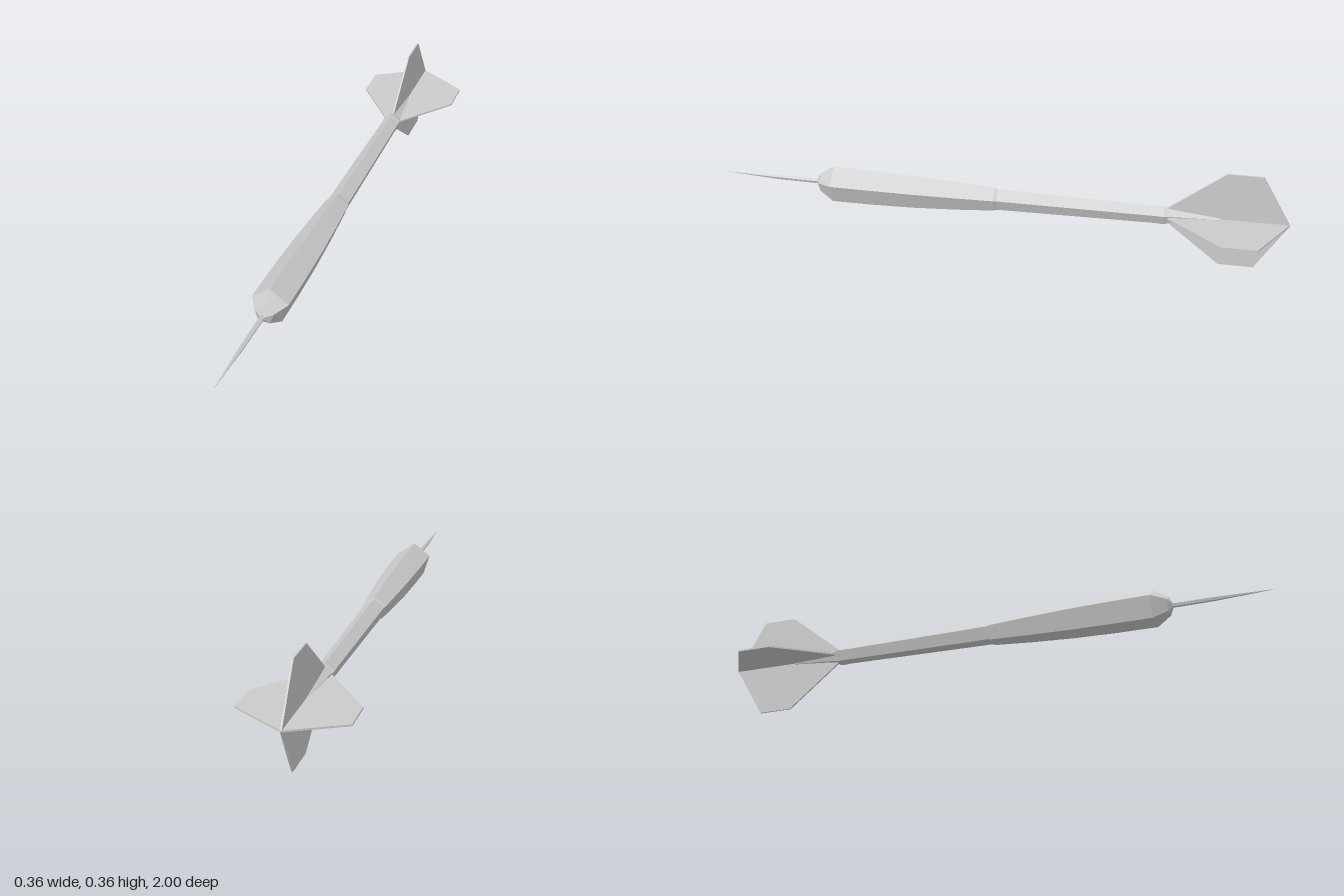
import * as THREE from 'three';

const material = new THREE.MeshStandardMaterial({ color: 0xcccccc, flatShading: true });

// Centre line of the slightly bent dart
const centreX = z => 0.018 + 0.0165 * z - 0.0065 * z * z;
const centreY = z => 0.182 + 0.0025 * z;

// Shift every vertex onto the centre line and make flat facets
function finish(name, geometry) {
  const geo = geometry.index ? geometry.toNonIndexed() : geometry;
  const p = geo.attributes.position;
  for (let i = 0; i < p.count; i++) {
    const z = p.getZ(i);
    p.setXY(i, p.getX(i) + centreX(z), p.getY(i) + centreY(z));
  }
  geo.computeVertexNormals();
  const mesh = new THREE.Mesh(geo, material);
  mesh.name = name;
  return mesh;
}

// Five-sided turned part along z from [z, radius] pairs, back to front
function turned(name, profile) {
  const points = profile.map(([z, r]) => new THREE.Vector2(r, z));
  const geo = new THREE.LatheGeometry(points, 5, Math.PI);
  geo.rotateX(Math.PI / 2);
  return finish(name, geo);
}

// One thin fin: outline in (z, radius), turned about the axis
function fin(angle) {
  const shape = new THREE.Shape();
  [[-0.57, 0], [-0.59, 0.03], [-0.775, 0.179], [-0.895, 0.179], [-1, 0]]
    .forEach(([z, r], i) => (i ? shape.lineTo(-z, r) : shape.moveTo(-z, r)));
  const thickness = 0.006;
  const geo = new THREE.ExtrudeGeometry(shape, { depth: thickness, bevelEnabled: false });
  geo.translate(0, 0, -thickness / 2);
  geo.rotateY(Math.PI / 2);
  geo.rotateZ(angle);
  return finish('flightFin', geo);
}

export function createModel() {
  const dart = new THREE.Group();
  dart.name = 'dart';

  // Needle point
  dart.add(turned('point', [[0.63, 0], [0.63, 0.009], [0.8, 0.008], [1, 0]]));

  // Swelling grip with a chamfered nose
  dart.add(turned('barrel', [
    [0, 0], [0, 0.038], [0.012, 0.043], [0.15, 0.053], [0.3, 0.061],
    [0.45, 0.065], [0.59, 0.066], [0.64, 0.034], [0.652, 0.011], [0.652, 0],
  ]));

  // Slim shaft ending in a small collar
  dart.add(turned('shaft', [
    [-0.59, 0], [-0.59, 0.03], [-0.575, 0.034], [-0.55, 0.032], [0.005, 0.039], [0.005, 0],
  ]));

  // Tapered socket holding the fins
  dart.add(turned('flightSocket', [[-0.77, 0], [-0.765, 0.008], [-0.66, 0.019], [-0.58, 0.029], [-0.58, 0]]));

  // Four crossed fins with a slight roll
  const flight = new THREE.Group();
  flight.name = 'flight';
  for (let i = 0; i < 4; i++) flight.add(fin(i * Math.PI / 2 + 0.03));
  dart.add(flight);

  return dart;
}
